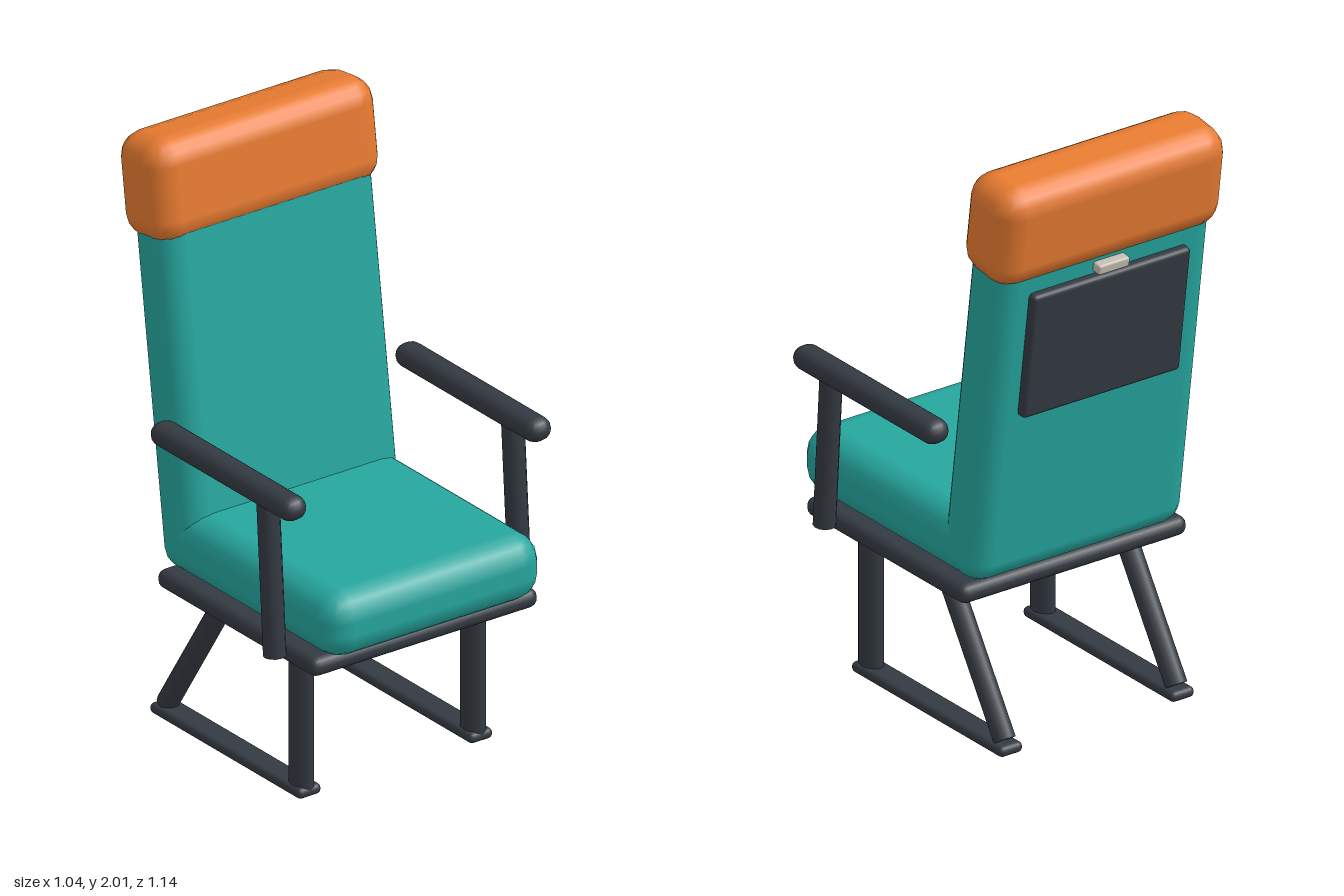
import * as THREE from 'three';
import { RoundedBoxGeometry } from 'three/addons/geometries/RoundedBoxGeometry.js';

const material = (name, color) => {
  const m = new THREE.MeshStandardMaterial({ color });
  m.name = name;
  return m;
};

export function createModel() {
  const chair = new THREE.Group();
  chair.name = 'chair';
  const teal = material('teal upholstery', 0x26a69e);
  const orange = material('orange headrest', 0xe67a30);
  const dark = material('dark metal', 0x343a42);
  const light = material('pale clip', 0xc4bcb2);

  const add = (parent, name, geometry, mat, x, y, z) => {
    const mesh = new THREE.Mesh(geometry, mat);
    mesh.name = name;
    mesh.position.set(x, y, z);
    parent.add(mesh);
    return mesh;
  };
  const pad = (parent, name, [w, h, d], radius, mat, x, y, z) =>
    add(parent, name, new RoundedBoxGeometry(w, h, d, 2, radius), mat, x, y, z);

  // Round bar between two points, optionally deeper along its local z
  const bar = (name, from, to, radius, depth = 1) => {
    const a = new THREE.Vector3(...from);
    const b = new THREE.Vector3(...to);
    const geometry = new THREE.CylinderGeometry(radius, radius, a.distanceTo(b), 12);
    geometry.scale(1, 1, depth);
    const mid = a.clone().add(b).multiplyScalar(0.5);
    const mesh = add(chair, name, geometry, dark, mid.x, mid.y, mid.z);
    mesh.quaternion.setFromUnitVectors(new THREE.Vector3(0, 1, 0), b.sub(a).normalize());
  };

  // Seat
  pad(chair, 'seatCushion', [0.84, 0.225, 0.9], 0.09, teal, 0, 0.668, 0.12);
  pad(chair, 'seatFrame', [0.88, 0.065, 0.835], 0.03, dark, 0, 0.53, 0.083);

  // Reclined back, with everything attached to it
  const back = new THREE.Group();
  back.name = 'reclinedBack';
  back.position.set(0, 1.18, -0.338);
  back.rotation.x = -0.137;
  chair.add(back);
  pad(back, 'backCushion', [0.838, 1.25, 0.204], 0.08, teal, 0, 0, 0);
  pad(back, 'headrest', [0.882, 0.352, 0.246], 0.085, orange, 0, 0.655, -0.004);
  pad(back, 'rearPanel', [0.61, 0.45, 0.05], 0.015, dark, 0, 0.223, -0.108);
  pad(back, 'panelClip', [0.12, 0.035, 0.04], 0.008, light, 0, 0.474, -0.116);

  // Mirrored arms, legs and floor rails
  for (const [side, s] of [['left', 1], ['right', -1]]) {
    pad(chair, side + 'Armrest', [0.094, 0.08, 0.74], 0.039, dark, s * 0.475, 1.08, 0.1);
    bar(side + 'ArmPost', [s * 0.475, 0.535, 0.343], [s * 0.475, 1.07, 0.307], 0.037);
    bar(side + 'FrontLeg', [s * 0.333, 0.02, 0.29], [s * 0.333, 0.52, 0.29], 0.036, 1.4);
    bar(side + 'RearLeg', [s * 0.333, 0.04, -0.41], [s * 0.333, 0.505, -0.11], 0.036);
    pad(chair, side + 'FloorRail', [0.09, 0.036, 0.79], 0.016, dark, s * 0.333, 0.018, -0.055);
  }
  bar('crossbar', [-0.333, 0.452, -0.142], [0.333, 0.452, -0.142], 0.026);

  return chair;
}
